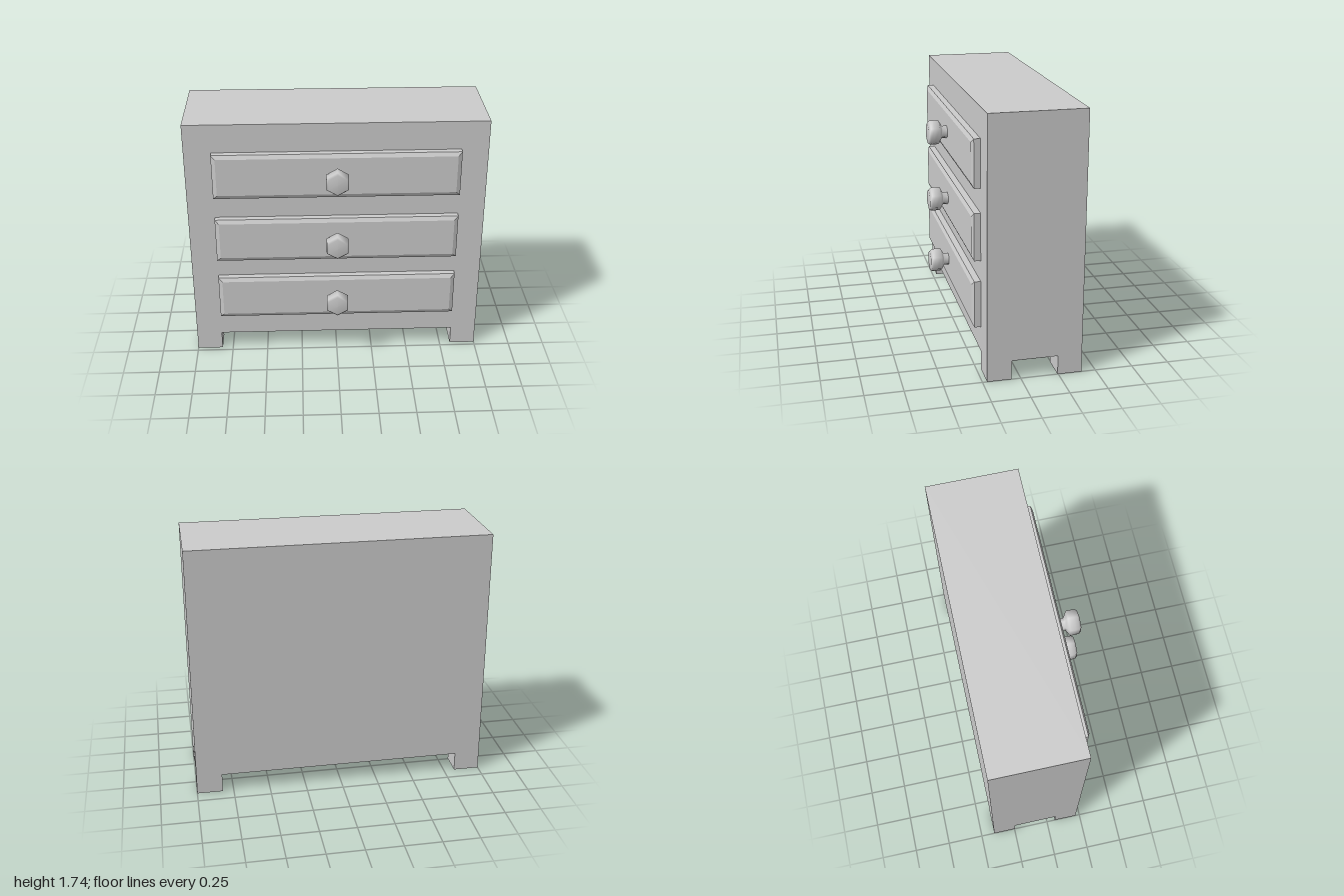
import * as THREE from 'three';

const material = new THREE.MeshStandardMaterial({ color: 0xcccccc });

function addMesh(parent, name, geometry, x, y, z) {
  const mesh = new THREE.Mesh(geometry, material);
  mesh.name = name;
  mesh.position.set(x, y, z);
  parent.add(mesh);
  return mesh;
}

// Drawer panel with a chamfered front; its rear chamfer is buried in the cabinet.
function drawerGeometry(width, height, inset) {
  const w = width / 2 - inset, h = height / 2 - inset;
  const shape = new THREE.Shape([
    new THREE.Vector2(-w, -h), new THREE.Vector2(w, -h),
    new THREE.Vector2(w, h), new THREE.Vector2(-w, h),
  ]);
  return new THREE.ExtrudeGeometry(shape, {
    depth: 0.05, bevelEnabled: true, bevelSegments: 1, bevelThickness: 0.013, bevelSize: inset,
  });
}

// Six-sided turned knob, axis turned to point forward.
function knobGeometry() {
  const profile = [
    [0.043, 0], [0.043, 0.045], [0.06, 0.055], [0.084, 0.068],
    [0.085, 0.105], [0.083, 0.13], [0.07, 0.144], [0, 0.146],
  ].map(([r, y]) => new THREE.Vector2(r, y));
  return new THREE.LatheGeometry(profile, 6).rotateX(Math.PI / 2);
}

export function createModel() {
  const model = new THREE.Group();
  model.name = 'chestOfDrawers';
  const front = 0.22, back = -0.405, legHeight = 0.13, top = 1.74;
  const depth = front - back;

  // Cabinet
  addMesh(model, 'cabinet', new THREE.BoxGeometry(2, top - legHeight, depth),
    0, (top + legHeight) / 2, (front + back) / 2);

  // Corner legs
  const legW = 0.175, legD = 0.16;
  const legGeo = new THREE.BoxGeometry(legW, legHeight, legD);
  for (const side of [-1, 1]) {
    for (const z of [front - legD / 2, back + legD / 2]) {
      addMesh(model, (z > 0 ? 'front' : 'back') + (side > 0 ? 'Left' : 'Right') + 'Leg',
        legGeo, side * (1 - legW / 2), legHeight / 2, z);
    }
  }

  // Drawers with knobs
  const drawerGeo = drawerGeometry(1.64, 0.315, 0.027);
  const knobGeo = knobGeometry();
  [['bottom', 0.457], ['middle', 0.912], ['top', 1.387]].forEach(([level, y]) => {
    const drawer = new THREE.Group();
    drawer.name = level + 'Drawer';
    drawer.position.set(0, y, front);
    addMesh(drawer, 'drawerFront', drawerGeo, 0, 0, -0.008);
    addMesh(drawer, 'knob', knobGeo, 0, 0, 0.044);
    model.add(drawer);
  });

  return model;
}
